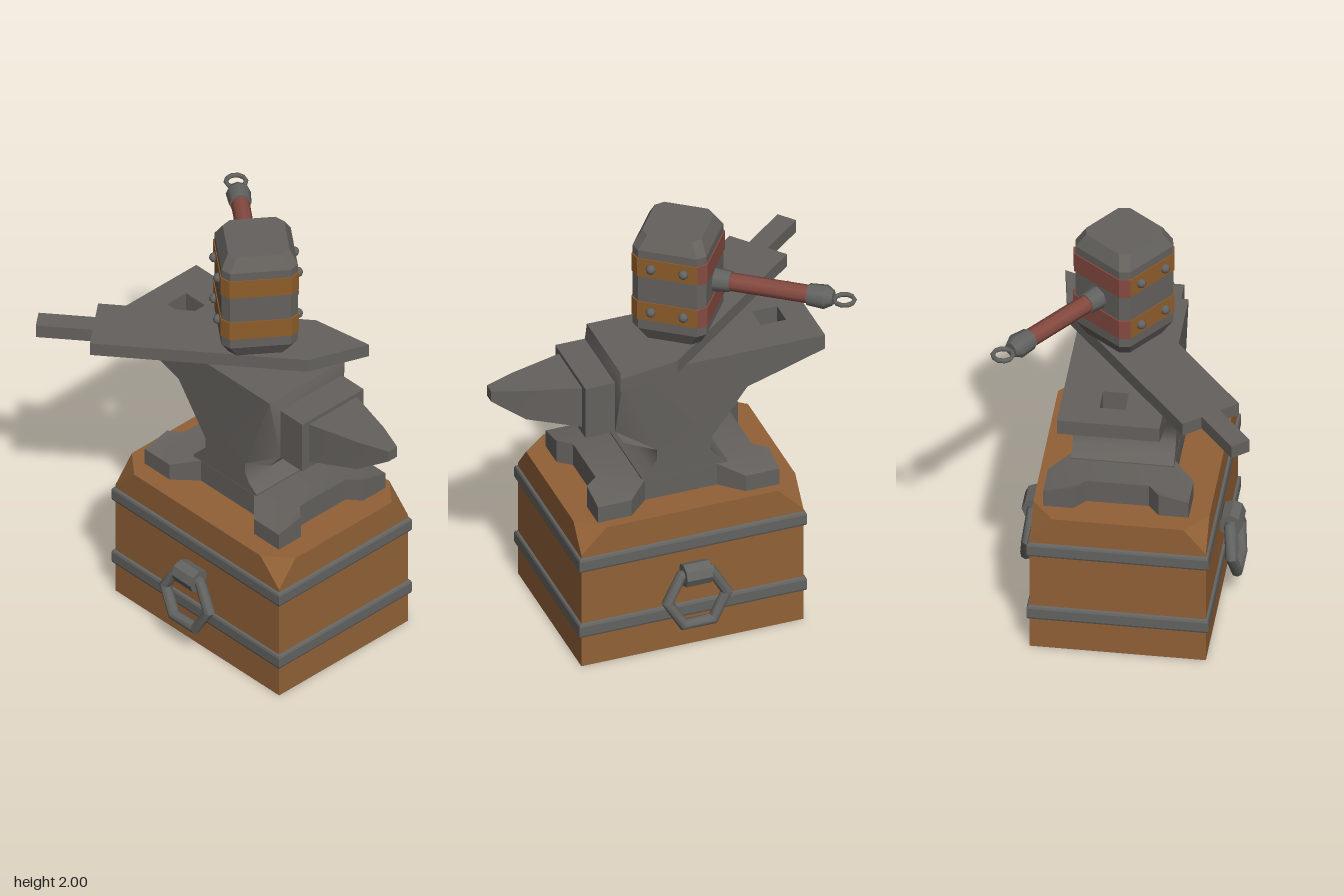
import * as THREE from 'three';
import { toCreasedNormals } from 'three/addons/utils/BufferGeometryUtils.js';
import { ConvexGeometry } from 'three/addons/geometries/ConvexGeometry.js';

const material = (name, color) => Object.assign(new THREE.MeshStandardMaterial({ color }), { name });

const V = (x, y, z) => new THREE.Vector3(x, y, z);
const toShape = (pts) => new THREE.Shape(pts.map(([x, y]) => new THREE.Vector2(x, y)));

// side profile given as [z, y], extruded from x0 to x1
function prism(pts, x0, x1) {
  const g = new THREE.ExtrudeGeometry(toShape(pts), { depth: x1 - x0, bevelEnabled: false });
  return g.rotateY(-Math.PI / 2).translate(x1, 0, 0);
}

// plan given as [x, z], extruded from y0 to y1
function slab(pts, y0, y1) {
  const s = toShape(pts.map(([x, z]) => [x, -z]));
  const g = new THREE.ExtrudeGeometry(s, { depth: y1 - y0, bevelEnabled: false });
  return g.rotateX(-Math.PI / 2).translate(0, y0, 0);
}

// move every vertex by a rule, then rebuild the normals
function bend(geometry, rule, crease = 0.7) {
  const g = geometry.index ? geometry.toNonIndexed() : geometry;
  const p = g.attributes.position, v = V(0, 0, 0);
  for (let i = 0; i < p.count; i++) {
    v.fromBufferAttribute(p, i);
    rule(v);
    p.setXYZ(i, v.x, v.y, v.z);
  }
  g.computeVertexNormals();
  return toCreasedNormals(g, crease);
}

// rectangle with cut corners, as [x, z]
function cutRect(w, d, cx, cz = cx) {
  return [[w, d - cz], [w - cx, d], [cx - w, d], [-w, d - cz],
    [-w, cz - d], [cx - w, -d], [w - cx, -d], [w, cz - d]];
}

export function createModel() {
  const wood = material('wood', 0x916137);
  const steel = material('dark steel', 0x64615d);
  const iron = material('iron', 0x636361);
  const leather = material('red leather', 0x854a40);
  const strap = material('tan strap', 0x8f5d2a);

  const model = new THREE.Group();
  model.name = 'anvilOnBlock';
  const group = (name, x, z) => {
    const g = new THREE.Group();
    g.name = name;
    g.position.set(x, 0, z);
    model.add(g);
    return g;
  };
  const add = (parent, name, geometry, mat, x = 0, y = 0, z = 0) => {
    const m = new THREE.Mesh(geometry, mat);
    m.name = name;
    m.position.set(x, y, z);
    parent.add(m);
    return m;
  };

  // wooden block, its corners cut away above the upper band
  const block = group('block', 0.055, 0.015);
  const W = 0.393, D = 0.525;
  const corners = cutRect(W, D, 0.1, 0.12).map(([x, z]) => V(x, 0.713, z));
  for (const y of [0, 0.59])
    for (const sx of [-1, 1]) for (const sz of [-1, 1]) corners.push(V(sx * W, y, sz * D));
  add(block, 'woodBlock', new ConvexGeometry(corners), wood);

  // iron bands round the block
  const rect = (w, d) => [[-w, -d], [w, -d], [w, d], [-w, d]];
  for (const y of [0.191, 0.538]) {
    const s = toShape(rect(W, D));
    s.holes.push(new THREE.Path(rect(W - 0.025, D - 0.025).map(([x, z]) => new THREE.Vector2(x, z))));
    const g = new THREE.ExtrudeGeometry(s, {
      depth: 0.046, bevelThickness: 0.014, bevelSize: 0.013, bevelSegments: 2,
    });
    add(block, 'ironBand', g.rotateX(-Math.PI / 2), iron, 0, y - 0.023, 0);
  }

  // ring handles on both sides
  for (const s of [-1, 1]) {
    const knob = new THREE.CylinderGeometry(0.055, 0.055, 0.12, 8).rotateX(Math.PI / 2);
    add(block, 'handleKnob', toCreasedNormals(knob, 0.6), iron, s * 0.438, 0.4, 0);
    const ring = new THREE.TorusGeometry(0.14, 0.028, 8, 6).rotateY(Math.PI / 2);
    add(block, 'handleRing', toCreasedNormals(ring, 0.8), iron, s * 0.455, 0.283, 0).rotation.z = s * 0.12;
  }

  // anvil foot: four spread feet, top rising toward the middle
  const anvil = group('anvil', 0.076, 0);
  const quarter = [[0.23, 0.17], [0.325, 0.27], [0.325, 0.43], [0.19, 0.43], [0.14, 0.37]];
  const mirror = (sx, sz) => quarter.map(([x, z]) => [sx * x, sz * z]);
  const plan = [...mirror(1, 1), ...mirror(-1, 1).reverse(), ...mirror(-1, -1), ...mirror(1, -1).reverse()];
  add(anvil, 'anvilFoot', bend(slab(plan, 0.71, 0.795), (v) => {
    if (v.y > 0.75) v.y += Math.min(0.03, (0.325 - Math.abs(v.x)) * 0.3);
    v.z += 0.014;
  }), steel);

  // anvil waist and body
  const half = 0.229, top = 1.387;
  const body = [[0.2, 0.79], [0.2, 0.832], [0.152, 0.87], [0.127, 0.915], [0.127, 0.965], [0.285, 1.04],
    [0.31, 1.08], [0.31, 1.34], [0.285, top], [-0.43, top], [-0.43, 1.24], [-0.3, 1.2],
    [-0.127, 0.965], [-0.127, 0.91], [-0.155, 0.87], [-0.205, 0.83], [-0.205, 0.79]];
  add(anvil, 'anvilBody', bend(prism(body, -half, half), (v) => {
    if (v.z > 0.3) v.x *= 0.82;
  }, 0.8), steel);

  // tail with a square through hole
  const rim = [[-0.43, top], [-0.43, 1.24], [-0.55, 1.278], [-0.55, top]];
  add(anvil, 'tailSide', prism(rim, -half, -0.06), steel);
  add(anvil, 'tailSide', prism(rim, 0.055, half), steel);
  add(anvil, 'tailEnd', prism([[-0.55, top], [-0.55, 1.278], [-0.668, 1.315], [-0.668, top]], -half, half), steel);

  // step and tapering horn
  add(anvil, 'hornStep', new THREE.BoxGeometry(0.375, 0.26, 0.15), steel, 0, 1.21, 0.375);
  const sections = [[0.44, 0.148, 1.11], [0.69, 0.08, 1.17], [0.835, 0.026, 1.265]];
  add(anvil, 'horn', bend(new THREE.BoxGeometry(2, 1, 1, 1, 1, 2), (v) => {
    const [z, w, low] = sections[Math.round((v.z + 0.5) * 2)];
    v.set(v.x * w, v.y > 0 ? 1.32 : low, z);
  }), steel);

  // flat blade blank lying on the anvil
  const blade = group('bladeBlank', -0.3735, -0.611);
  blade.rotation.y = Math.atan2(0.633, 0.774);
  const outline = [[-0.047, -0.253], [0.047, -0.253], [0.047, 0], [0.146, 0], [0.146, 0.972],
    [0, 1.226], [-0.146, 0.972], [-0.146, 0], [-0.047, 0]];
  add(blade, 'blade', slab(outline, 1.388, 1.452), steel);

  // hammer standing on its head, handle along local +z
  const hammer = group('hammer', 0.087, -0.055);
  hammer.rotation.y = Math.atan2(0.6, -0.8);
  const head = [];
  for (const [y, h] of [[1.452, 0.135], [1.52, 0.17], [1.935, 0.17], [2, 0.137]])
    for (const [x, z] of cutRect(h, h, 0.035)) head.push(V(x, y, z));
  add(hammer, 'hammerHead', new ConvexGeometry(head), steel);

  // straps round the head, red on the handle side, with rivets
  const redSide = [[-0.176, 0.141], [-0.141, 0.176], [0.141, 0.176], [0.176, 0.141]];
  for (const y of [1.618, 1.847]) {
    add(hammer, 'headStrap', slab(cutRect(0.174, 0.174, 0.035), y - 0.047, y + 0.047), strap);
    add(hammer, 'headStrapBack', slab(redSide, y - 0.048, y + 0.048), leather);
    for (const sx of [-1, 1]) for (const sz of [-1, 1])
      add(hammer, 'rivet', new THREE.SphereGeometry(0.023, 8, 6), iron, sx * 0.178, y, sz * 0.075);
  }

  // handle: collar, grip, end cap and hanging loop
  const rod = (name, r0, r1, z0, z1, mat) => add(hammer, name,
    new THREE.CylinderGeometry(r1, r0, z1 - z0, 8).rotateX(Math.PI / 2), mat, 0, 1.727, (z0 + z1) / 2);
  rod('handleCollar', 0.056, 0.048, 0.16, 0.245, iron);
  rod('handleGrip', 0.042, 0.042, 0.24, 0.61, leather);
  rod('handleCap', 0.05, 0.056, 0.6, 0.68, iron);
  rod('handleCapEnd', 0.056, 0.035, 0.68, 0.715, iron);
  add(hammer, 'hangingLoop', new THREE.TorusGeometry(0.045, 0.011, 6, 10).rotateX(Math.PI / 2), iron, 0, 1.727, 0.765);

  return model;
}
